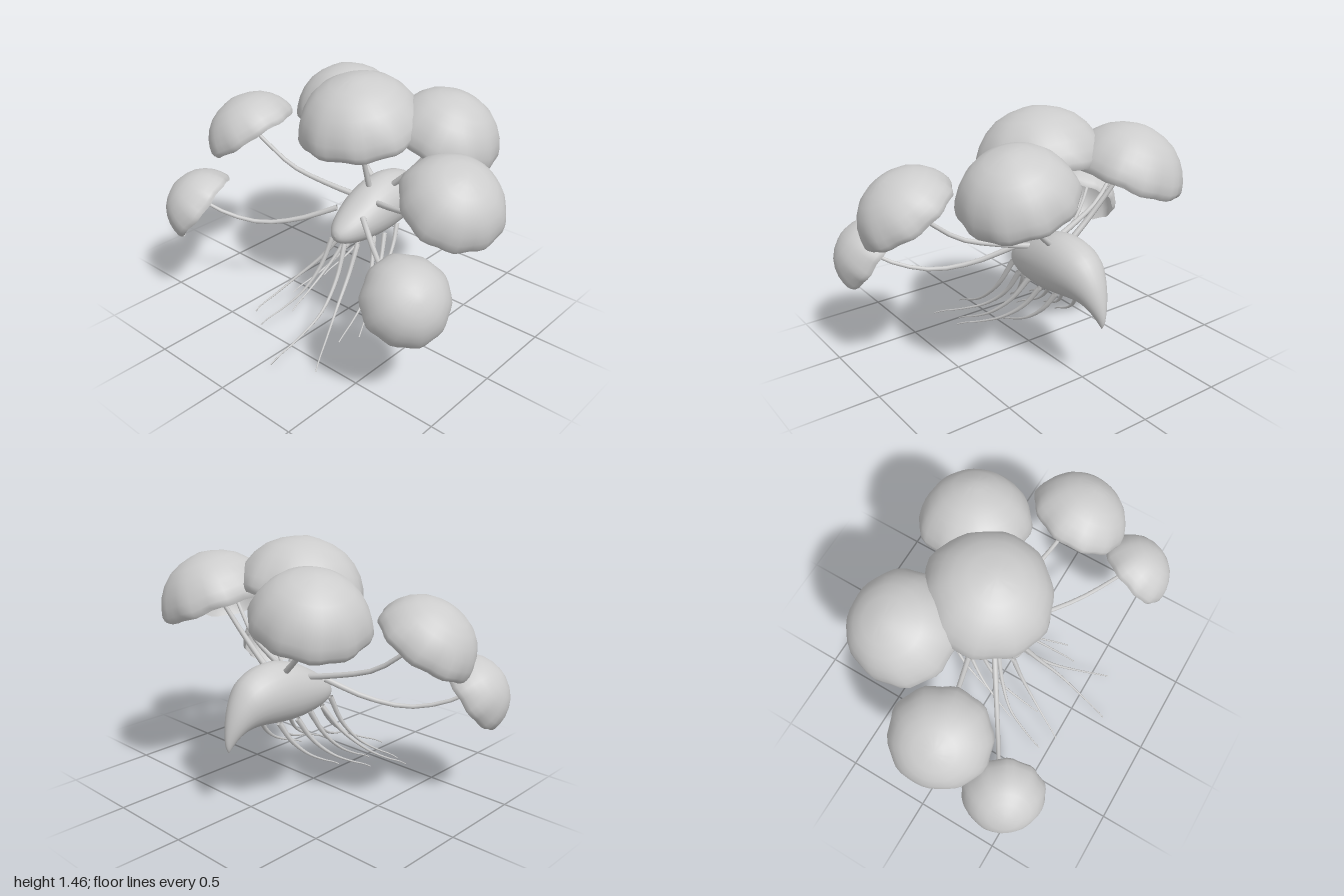
import * as THREE from 'three';
import { toCreasedNormals } from 'three/addons/utils/BufferGeometryUtils.js';

const grey = new THREE.MeshStandardMaterial({ color: 0xcccccc, side: THREE.DoubleSide });
grey.name = 'grey';
const V = (a) => new THREE.Vector3(...a);

function addMesh(parent, name, geometry) {
  const mesh = new THREE.Mesh(geometry, grey);
  mesh.name = name;
  parent.add(mesh);
  return mesh;
}

// Tube that narrows from r0 to r1 along its path, fastest near the start
function taperedTube(points, r0, r1, segments, sides) {
  const curve = new THREE.CatmullRomCurve3(points.map(V));
  const geo = new THREE.TubeGeometry(curve, segments, 1, sides);
  const pos = geo.attributes.position;
  const v = new THREE.Vector3();
  for (let i = 0; i <= segments; i++) {
    const p = curve.getPointAt(i / segments);
    const r = r1 + (r0 - r1) * Math.pow(1 - i / segments, 1.4);
    for (let j = 0; j <= sides; j++) {
      const k = i * (sides + 1) + j;
      v.fromBufferAttribute(pos, k).sub(p).multiplyScalar(r).add(p);
      pos.setXYZ(k, v.x, v.y, v.z);
    }
  }
  return geo;
}

// Hollow dome with a slightly wavy rim; profile runs inner crown -> rim -> outer crown
const CAP_PROFILE = [
  [0, 0.95], [0.29, 0.885], [0.55, 0.745], [0.76, 0.52], [0.9, 0.24], [0.945, 0.02],
  [0.955, -0.05], [0.985, 0], [1, 0.08], [0.97, 0.24], [0.9, 0.43],
  [0.78, 0.62], [0.61, 0.79], [0.4, 0.905], [0.18, 0.97], [0, 1],
];
function capGeometry(radius, height, side, phase) {
  const pts = CAP_PROFILE.map(([r, y]) => new THREE.Vector2(r, y));
  const geo = new THREE.LatheGeometry(pts, 40);
  const pos = geo.attributes.position;
  for (let i = 0; i < pos.count; i++) {
    const x = pos.getX(i), y = pos.getY(i), z = pos.getZ(i);
    const a = Math.atan2(z * side, x) + phase;
    const k = Math.pow(1 - Math.max(0, Math.min(1, y)), 2);
    const w = 1 + k * (0.024 * Math.cos(10 * a) + 0.018 * Math.sin(4 * a + 1));
    const lift = k * (0.015 * Math.sin(10 * a) + 0.02 * Math.cos(4 * a));
    pos.setXYZ(i, x * w * radius, (y + lift) * height, z * w * radius);
  }
  return toCreasedNormals(geo, 0.9);
}

function addCap(parent, name, centre, normal, radius, height, side, phase) {
  const cap = addMesh(parent, name, capGeometry(radius, height, side, phase));
  cap.position.copy(V(centre));
  cap.quaternion.setFromUnitVectors(new THREE.Vector3(0, 1, 0), V(normal).normalize());
}

// Hooked body: each station is top x, y, bottom x, y, half width
const BODY = [
  [-0.12, 0.55, -0.12, 0.55, 0], [-0.108, 0.585, -0.113, 0.52, 0.034],
  [-0.05, 0.64, -0.08, 0.493, 0.077], [0.05, 0.705, -0.01, 0.47, 0.115],
  [0.16, 0.765, 0.09, 0.453, 0.14], [0.3, 0.802, 0.22, 0.447, 0.15],
  [0.43, 0.79, 0.36, 0.463, 0.145], [0.535, 0.74, 0.46, 0.474, 0.122],
  [0.602, 0.65, 0.53, 0.468, 0.088], [0.643, 0.55, 0.58, 0.443, 0.056],
  [0.662, 0.46, 0.618, 0.405, 0.027], [0.661, 0.405, 0.639, 0.38, 0.011],
  [0.647, 0.37, 0.647, 0.37, 0],
];
function bodyGeometry() {
  const sides = 24, steps = 36, positions = [], index = [];
  // Smooth the top and bottom outlines between the stations
  const top = new THREE.CatmullRomCurve3(BODY.map((s) => V([s[0], s[1], s[4]])));
  const low = new THREE.CatmullRomCurve3(BODY.map((s) => V([s[2], s[3], s[4]])));
  for (let i = 0; i <= steps; i++) {
    const t = top.getPoint(i / steps), b = low.getPoint(i / steps);
    for (let j = 0; j < sides; j++) {
      const a = (j / sides) * Math.PI * 2, c = Math.cos(a);
      positions.push(
        (t.x + b.x) / 2 + c * (t.x - b.x) / 2,
        (t.y + b.y) / 2 + c * (t.y - b.y) / 2,
        Math.sin(a) * t.z);
      if (i < steps) {
        const p = i * sides + j, q = i * sides + (j + 1) % sides;
        index.push(p, q, p + sides, q, q + sides, p + sides);
      }
    }
  }
  const geo = new THREE.BufferGeometry();
  geo.setAttribute('position', new THREE.Float32BufferAttribute(positions, 3));
  geo.setIndex(index);
  geo.computeVertexNormals();
  return geo;
}

// Paired caps with their stems, given for the +z side
const PAIRS = [
  { name: 'upper', centre: [0.395, 1.085, 0.355], normal: [0.14, 0.94, 0.31], r: 0.31, h: 0.295,
    stem: [[0.3, 0.76, 0.08], [0.315, 0.87, 0.19], [0.35, 1.02, 0.3], [0.4, 1.18, 0.38], [0.43, 1.345, 0.44]] },
  { name: 'middle', centre: [-0.05, 0.97, 0.73], normal: [-0.2, 0.84, 0.5], r: 0.278, h: 0.248,
    stem: [[0.14, 0.7, 0.1], [0.09, 0.735, 0.27], [0.03, 0.8, 0.48], [-0.02, 0.92, 0.64], [-0.06, 1.03, 0.76], [-0.095, 1.165, 0.845]] },
  { name: 'lower', centre: [-0.44, 0.61, 0.76], normal: [-0.42, 0.62, 0.66], r: 0.23, h: 0.225,
    stem: [[0.01, 0.655, 0.1], [-0.12, 0.56, 0.3], [-0.25, 0.522, 0.5], [-0.37, 0.575, 0.69], [-0.47, 0.68, 0.84], [-0.53, 0.74, 0.9]] },
];

// Roots: start x, y, z, end x, y, z, sideways bow
const ROOTS = [
  [-0.09, 0.51, 0.05, -0.7, 0.005, 0.05, 0.05], [-0.09, 0.51, -0.05, -0.51, 0.04, -0.23, 0.01],
  [0, 0.48, 0.07, -0.6, 0.03, 0.3, -0.03], [0, 0.48, -0.07, -0.45, 0.055, -0.34, -0.07],
  [0.12, 0.49, 0.09, -0.37, 0.08, 0.26, 0.05], [0.12, 0.49, -0.09, -0.33, 0.08, -0.15, -0.03],
  [0.22, 0.47, 0.09, -0.28, 0.1, 0.33, 0.01], [0.22, 0.47, -0.09, -0.2, 0.1, -0.27, -0.02],
  [0.35, 0.48, 0.08, -0.05, 0.18, 0.15, 0.03], [0.35, 0.48, -0.08, 0, 0.16, -0.2, -0.02],
];

export function createModel() {
  const model = new THREE.Group();
  model.name = 'cappedCreature';

  addMesh(model, 'body', bodyGeometry());

  // Central cap and stem
  addCap(model, 'centralCap', [0.105, 1.143, 0], [-0.19, 0.98, 0], 0.352, 0.322, 1, 0);
  addMesh(model, 'centralStem', taperedTube(
    [[0.18, 0.76, 0], [0.14, 0.9, 0], [0.09, 1.1, 0], [0.05, 1.445, 0]], 0.017, 0.01, 8, 8));

  // Mirrored caps and stems
  for (const side of [1, -1]) {
    const suffix = side > 0 ? 'Front' : 'Back';
    const flip = ([x, y, z]) => [x, y, z * side];
    PAIRS.forEach((p, i) => {
      addCap(model, p.name + 'Cap' + suffix, flip(p.centre), flip(p.normal), p.r, p.h, side, i + 1);
      addMesh(model, p.name + 'Stem' + suffix, taperedTube(p.stem.map(flip), 0.018, 0.01, 10, 8));
    });
  }

  // Trailing roots: steep at first, then flattening out
  const shape = [[0, 0, 0], [0.17, 0.35, 0.6], [0.42, 0.64, 1], [0.72, 0.84, 0.6], [0.9, 0.93, 0.25], [1, 1, 0]];
  ROOTS.forEach(([x0, y0, z0, x1, y1, z1, bow], i) => {
    const path = shape.map(([fx, fy, b]) => [
      x0 + (x1 - x0) * fx, y0 + (y1 - y0) * fy, z0 + (z1 - z0) * fx + bow * b]);
    addMesh(model, 'root' + (i + 1), taperedTube(path, 0.017, 0.004, 16, 6));
  });

  return model;
}
